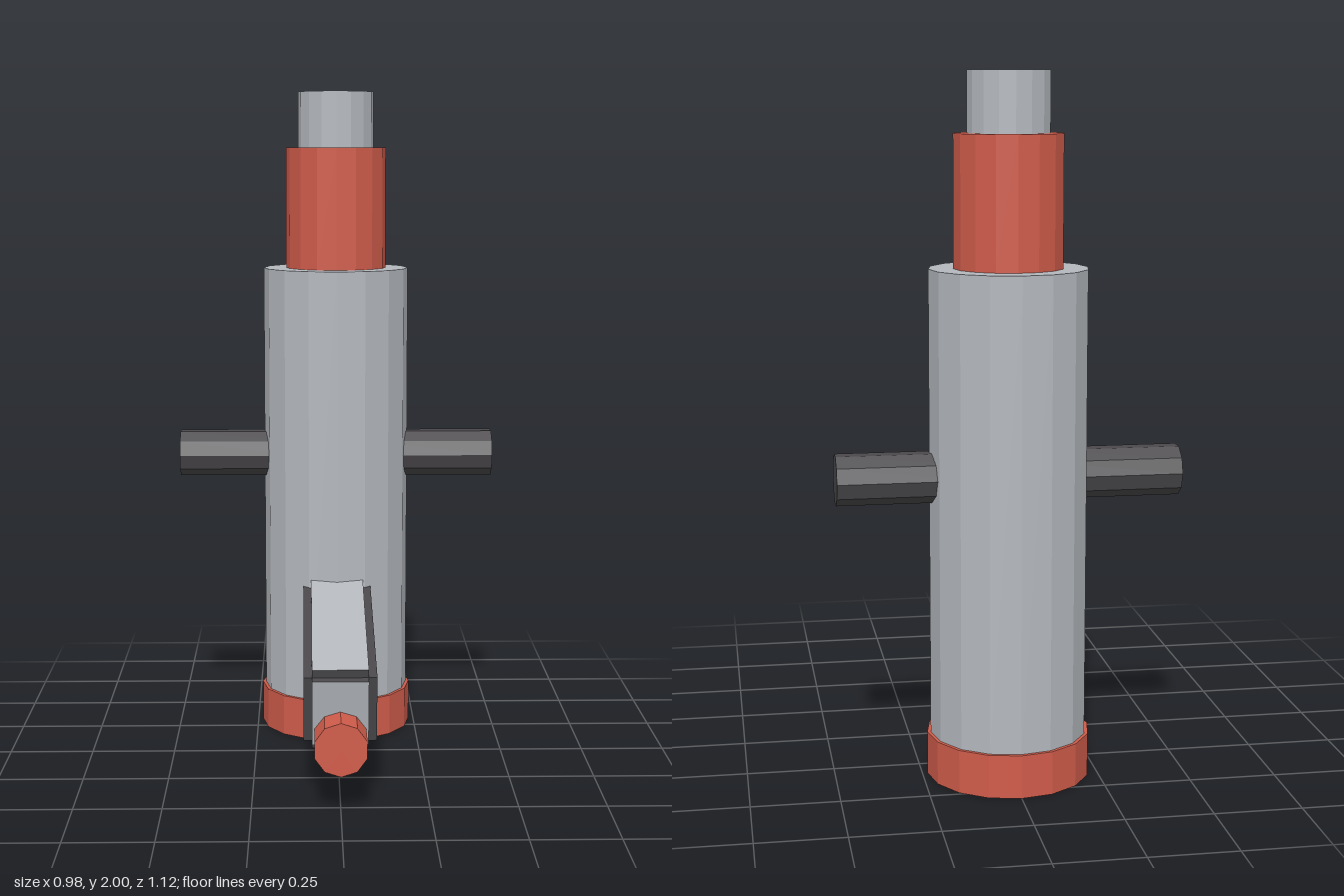
import * as THREE from 'three';

export function createModel() {
  const model = new THREE.Group();
  const mat = (name, color) => {
    const m = new THREE.MeshStandardMaterial({ color, flatShading: true });
    m.name = name;
    return m;
  };
  const grey = mat('steel grey', 0xb4b8bd);
  const red = mat('warm red', 0xd05c4b);
  const dark = mat('charcoal', 0x4a484b);

  const add = (parent, name, geometry, material, x, y, z) => {
    const mesh = new THREE.Mesh(geometry, material);
    mesh.name = name;
    mesh.position.set(x, y, z);
    parent.add(mesh);
    return mesh;
  };

  // Stacked column: base ring, body, collar and top pin
  const axisZ = -0.325;
  const column = [
    ['baseRing', 0.235, 0, 0.125, red],
    ['body', 0.225, 0.125, 1.46, grey],
    ['collar', 0.155, 1.46, 1.83, red],
    ['topPin', 0.117, 1.83, 2, grey],
  ];
  for (const [name, r, y0, y1, material] of column) {
    add(model, name, new THREE.CylinderGeometry(r, r, y1 - y0, 16), material, 0, (y0 + y1) / 2, axisZ);
  }

  // Side handles, mirrored, starting inside the body
  for (const s of [1, -1]) {
    const handle = add(model, s > 0 ? 'leftHandle' : 'rightHandle',
      new THREE.CylinderGeometry(0.0735, 0.0735, 0.39, 10), dark, s * 0.295, 0.875, axisZ);
    handle.rotation.z = Math.PI / 2;
  }

  // Sloping arm: a core box with each face raised, grey faces and dark edges
  const arm = new THREE.Group();
  arm.name = 'arm';
  arm.rotation.x = THREE.MathUtils.degToRad(12);
  model.add(arm);
  const back = -0.3, front = 0.367, cy = 0.348, raise = 0.024;
  const length = front - back, cz = (front + back) / 2;
  const faces = (axis) => [0, 0, 1, 1, 2, 2].map((a) => (a === axis ? grey : dark));
  add(arm, 'armSidePlates', new THREE.BoxGeometry(0.16 + 2 * raise, 0.2, length), faces(0), 0, cy, cz);
  add(arm, 'armTopAndBottomPlates', new THREE.BoxGeometry(0.16, 0.2 + 2 * raise, length), faces(1), 0, cy, cz);
  add(arm, 'armEndPlate', new THREE.BoxGeometry(0.16, 0.2, length + raise), faces(2), 0, cy, cz + raise / 2);

  // Round tip at the end of the arm
  const tip = add(model, 'armTip', new THREE.CylinderGeometry(0.077, 0.077, 0.195, 10), red, 0, 0.187, 0.4625);
  tip.rotation.x = Math.PI / 2;

  return model;
}
